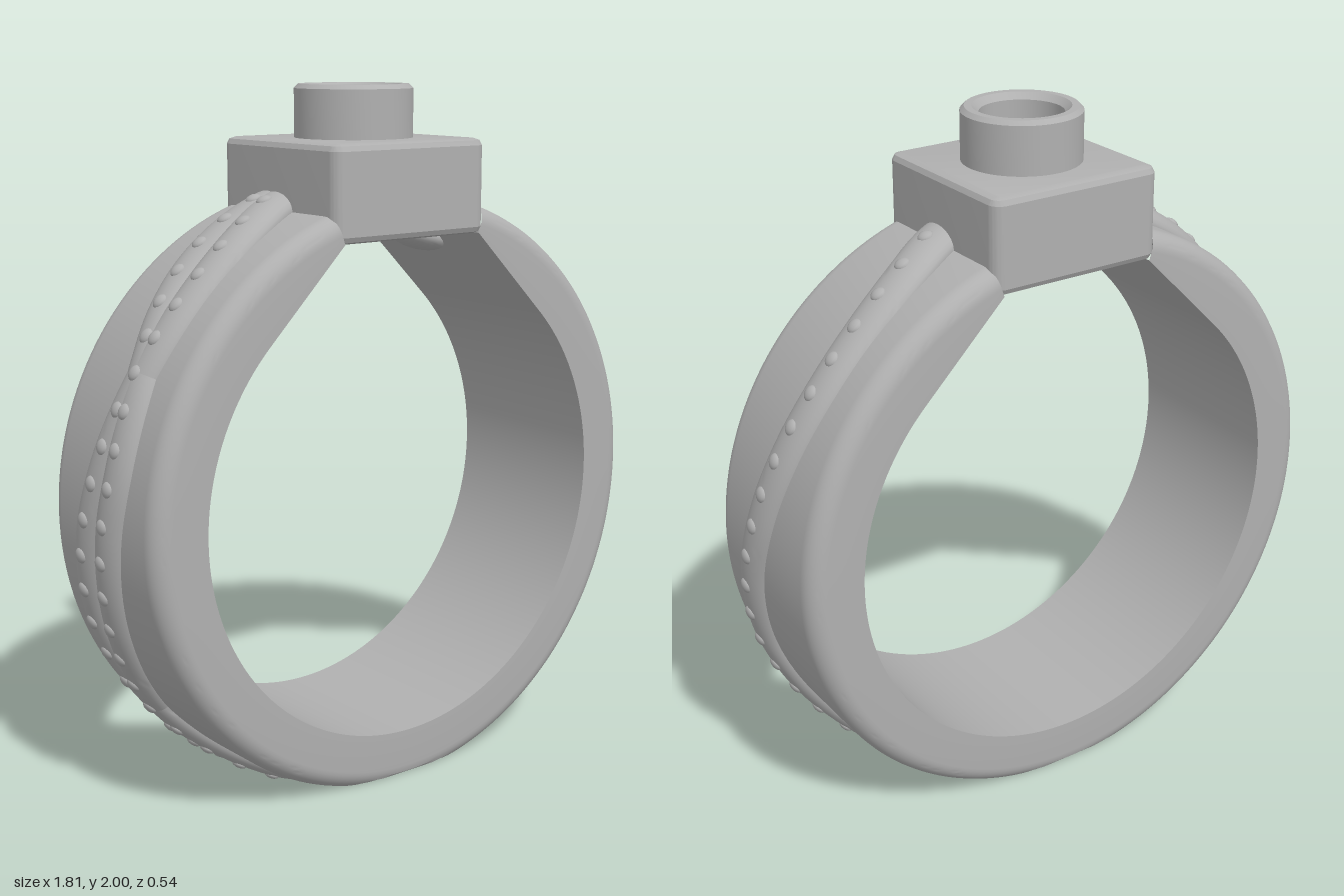
import * as THREE from 'three';
import { toCreasedNormals } from 'three/addons/utils/BufferGeometryUtils.js';

const CY = 0.835;      // height of the ring centre
const R = 0.865;       // outer radius of the band
const W = 0.27;        // half width of the band
const rad = THREE.MathUtils.degToRad;

// Joins closed cross-sections (arrays of Vector3) and trims them flat at y = 0
function loft(sections, crease) {
  const n = sections[0].length, pos = [], idx = [];
  sections.forEach(s => s.forEach(p => pos.push(p.x, Math.max(0, p.y), p.z)));
  for (let i = 0; i < sections.length - 1; i++) {
    for (let j = 0; j < n; j++) {
      const k = (j + 1) % n;
      const a = i * n + j, b = i * n + k, c = a + n, d = b + n;
      idx.push(a, b, c, b, d, c);
    }
  }
  const geo = new THREE.BufferGeometry();
  geo.setAttribute('position', new THREE.Float32BufferAttribute(pos, 3));
  geo.setIndex(idx);
  return toCreasedNormals(geo, crease);
}

const polar = (r, t, z) => new THREE.Vector3(r * Math.cos(t), CY + r * Math.sin(t), z);

// Band: round inside, with straight shoulders running up to the head
function bandGeometry() {
  const sections = [], steps = 200, f = 0.055;
  for (let i = 0; i <= steps; i++) {
    const t = rad(72 - 324 * i / steps);
    const up = Math.atan2(Math.sin(t), Math.abs(Math.cos(t)));
    const inner = up > Math.PI / 4 ? 0.70 / Math.cos(up - Math.PI / 4) : 0.70;
    const s = [polar(inner, t, -W)];
    for (const side of [-1, 1]) {
      for (let k = 0; k <= 8; k++) {
        const a = (side < 0 ? k : 8 - k) / 8 * Math.PI / 2;
        s.push(polar(R - f + f * Math.sin(a), t, side * (W - f + f * Math.cos(a))));
      }
    }
    s.push(polar(inner, t, W));
    sections.push(s);
  }
  return loft(sections, 0.25);
}

// Path of a vine: [angle in degrees, z] pairs from the head down to the base
function vinePath(points) {
  const curve = new THREE.CatmullRomCurve3(points.map(([a, z]) => new THREE.Vector3(a, z, 0)));
  const table = curve.getPoints(400);
  const zAt = deg => {
    const i = Math.max(1, table.findIndex(p => p.x <= deg));
    const p = table[i - 1], q = table[i];
    return THREE.MathUtils.mapLinear(deg, p.x, q.x, p.y, q.y);
  };
  // The vine rises a little where it meets the head
  return deg => polar(0.85 + 0.02 * THREE.MathUtils.smoothstep(deg, 45, 75), rad(deg), zAt(deg));
}

const HEIGHT = 0.045;
function vineGeometry(path) {
  const sections = [];
  for (let i = 0; i <= 100; i++) {
    const deg = 75 - 154 * i / 100;
    const p = path(deg);
    const t = path(deg - 0.5).sub(path(deg + 0.5)).normalize();
    const n = new THREE.Vector3(Math.cos(rad(deg)), Math.sin(rad(deg)), 0);
    const b = t.cross(n).normalize();
    const w = THREE.MathUtils.mapLinear(deg, 75, -79, 0.076, 0.052);
    const s = [];
    for (let j = 0; j < 24; j++) {
      const a = j / 24 * Math.PI * 2;
      s.push(p.clone().addScaledVector(n, HEIGHT * Math.cos(a)).addScaledVector(b, w * Math.sin(a)));
    }
    sections.push(s);
  }
  return loft(sections, 0.6);
}

export function createModel() {
  const model = new THREE.Group();
  const metal = new THREE.MeshStandardMaterial({ color: 0xb0b0b0 });
  metal.name = 'grey metal';
  const add = (parent, name, geo) => {
    const m = new THREE.Mesh(geo, metal);
    m.name = name;
    parent.add(m);
    return m;
  };

  add(model, 'band', bandGeometry());

  // Square head with bevelled edges
  const h = 0.245, c = 0.012;
  const square = new THREE.Shape();
  [[1, -1], [1, 1], [-1, 1], [-1, -1]].forEach(([x, y], i) => {
    const start = i * Math.PI / 2 - Math.PI / 2;
    square.absarc(x * (h - c), y * (h - c), c, start, start + Math.PI / 2, false);
  });
  const headGeo = new THREE.ExtrudeGeometry(square, {
    depth: 0.23, bevelThickness: 0.02, bevelSize: 0.025, bevelSegments: 2, curveSegments: 6,
  });
  headGeo.rotateX(-Math.PI / 2).translate(0, 1.60, 0);
  add(model, 'head', toCreasedNormals(headGeo, 0.45));

  // Hollow round setting on top
  const profile = [[0.17, 1.84], [0.17, 1.988], [0.158, 2], [0.137, 2], [0.118, 1.982], [0.118, 1.87], [0, 1.87]]
    .map(([x, y]) => new THREE.Vector2(x, y));
  add(model, 'setting', toCreasedNormals(new THREE.LatheGeometry(profile, 64), 0.4));

  // Vines with rows of beads; the left side carries a second, crossing vine
  const mainVine = [[80, 0.03], [72, 0.01], [63, -0.035], [54, -0.06], [38, -0.072], [24.5, -0.045],
    [11, 0.005], [-3, 0.065], [-16.5, 0.098], [-23, 0.098], [-37, 0.07], [-50, 0.015], [-63, -0.05], [-82, -0.12]];
  const crossVine = [[80, 0.05], [72, 0.05], [60, 0.05], [50, 0.035], [41, 0], [32, -0.045], [24, -0.07],
    [12, -0.075], [0, -0.045], [-20, 0.01], [-40, 0.06], [-60, 0.07], [-82, 0.06]];
  const bead = new THREE.SphereGeometry(0.023, 14, 10).scale(0.55, 1, 1);

  const addVine = (side, name, points) => {
    const path = vinePath(points);
    add(side, name, vineGeometry(path));
    for (let i = 0; i < 21; i++) {
      const deg = 69.6 - 6.8 * i, t = rad(deg);
      const m = add(side, name + 'Bead', bead);
      m.position.copy(path(deg));
      m.position.x += (HEIGHT - 0.004) * Math.cos(t);
      m.position.y += (HEIGHT - 0.004) * Math.sin(t);
      m.rotation.z = t;
    }
  };

  for (const name of ['left', 'right']) {
    const side = new THREE.Group();
    side.name = name + 'Side';
    if (name === 'right') side.rotation.y = Math.PI;
    addVine(side, 'vine', mainVine);
    if (name === 'right') addVine(side, 'crossingVine', crossVine);
    // Vine end showing under the head
    const end = add(side, 'vineEnd', new THREE.SphereGeometry(1, 24, 16));
    end.scale.set(0.1, 0.04, 0.075);
    end.position.set(0.24, 1.553, 0);
    end.rotation.z = -0.3;
    model.add(side);
  }
  return model;
}
